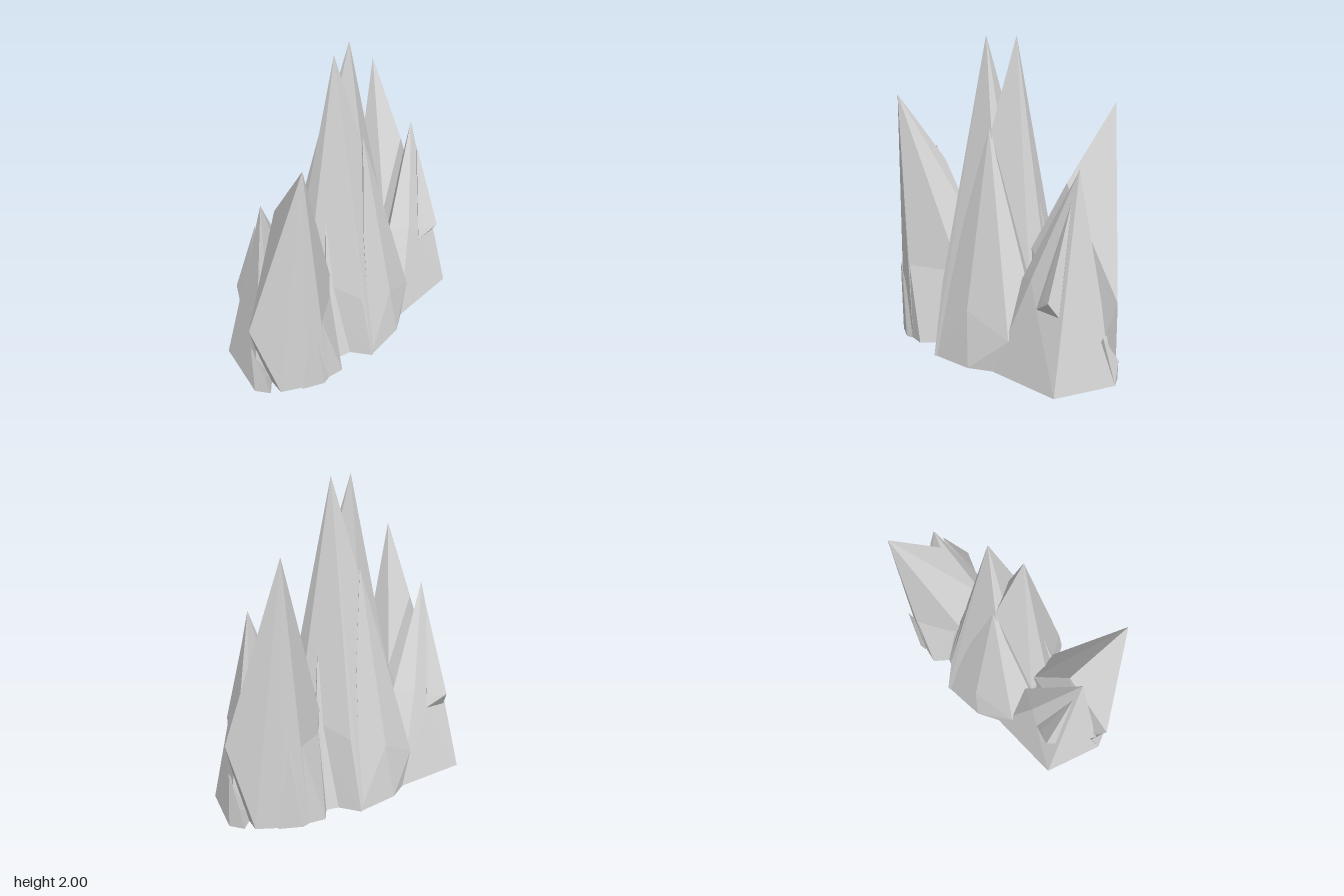
import * as THREE from 'three';
import { ConvexGeometry } from 'three/addons/geometries/ConvexGeometry.js';

// Faceted rock spikes for one half; the other half is the same turned by 180 degrees.
// Each spike: apex first, then shoulder and foot corners [x, y, z].
const SPIKES = {
  mainSpike: [
    [-0.1, 2, 0.035],
    [-0.04, 1.42, -0.12], [0.04, 1.44, 0.115], [-0.18, 0.45, 0.34], [0.36, 0.21, 0.25], [0.35, 0.3, 0.08],
    [-0.36, 0.58, 0.05], [-0.36, 0.55, -0.09],
    [-0.16, 0, 0.425], [0.27, 0, 0.31], [0.3, 0, 0], [-0.24, 0, 0.3], [-0.34, 0, 0], [-0.32, 0, -0.12],
  ],
  frontRidge: [
    [0.042, 1.45, 0.135],
    [-0.07, 0.86, 0.25], [0.085, 0.35, 0.355], [0.335, 0.57, 0.1], [0.37, 0.21, 0.27], [0.16, 0.28, 0.335],
    [-0.16, 0, 0.42], [0.13, 0, 0.39], [0.27, 0, 0.31], [0, 0, 0.1],
  ],
  valleyWedge: [
    [-0.25, 0.98, 0.1],
    [-0.3, 0.62, 0.15], [-0.32, 0, 0.28], [-0.24, 0, 0.3], [-0.32, 0, 0.02], [-0.2, 0, 0.1],
  ],
  sideSpike: [
    [-0.645, 1.62, 0.325],
    [-0.57, 1.17, 0], [-0.9, 0.51, 0.09], [-0.54, 0.51, 0.34], [-0.29, 0.62, 0.17], [-0.345, 0.75, -0.06],
    [-0.79, 0, 0.22], [-0.65, 0, 0.305], [-0.5, 0, 0.35], [-0.32, 0, 0.18], [-0.3, 0, 0], [-0.75, 0, 0.02],
  ],
  sideApron: [
    [-0.54, 0.51, 0.338],
    [-0.31, 0.51, 0.185], [-0.5, 0, 0.35], [-0.39, 0, 0.37], [-0.32, 0, 0.28], [-0.4, 0, 0.1],
  ],
  sideFoot: [
    [-0.63, 0.51, 0.345],
    [-0.6, 0.42, 0.35], [-0.68, 0, 0.3], [-0.55, 0, 0.365], [-0.5, 0, 0.355], [-0.6, 0, 0.25],
  ],
  outerSpike: [
    [0.67, 1.26, 0],
    [0.33, 0.57, 0.12], [0.37, 0.21, 0.26], [0.47, 0.6, 0.185], [0.55, 0.44, 0.215],
    [0.78, 0, 0.295], [0.895, 0, -0.095], [0.27, 0, 0.31], [0.3, 0, 0], [0.75, 0, -0.1],
  ],
  outerShard: [
    [0.67, 1.09, 0.06],
    [0.72, 0.44, 0.2], [0.69, 0.53, 0.26], [0.6, 0.52, 0.22], [0.55, 0.45, 0.215], [0.65, 0.5, 0.1],
  ],
  outerFoot: [
    [0.85, 0.3, -0.03],
    [0.86, 0.13, -0.16], [0.895, 0, -0.095], [0.84, 0, -0.18], [0.7, 0, -0.05],
  ],
};

export function createModel() {
  const model = new THREE.Group();
  model.name = 'rockSpires';
  const stone = new THREE.MeshStandardMaterial({ color: 0xd6d6d6, flatShading: true });
  stone.name = 'stoneGrey';

  for (const side of ['front', 'back']) {
    const half = new THREE.Group();
    half.name = side + 'Half';
    for (const [name, corners] of Object.entries(SPIKES)) {
      const points = corners.map((c) => new THREE.Vector3(...c));
      const mesh = new THREE.Mesh(new ConvexGeometry(points), stone);
      mesh.name = name;
      half.add(mesh);
    }
    if (side === 'back') half.rotation.y = Math.PI;
    model.add(half);
  }
  return model;
}
